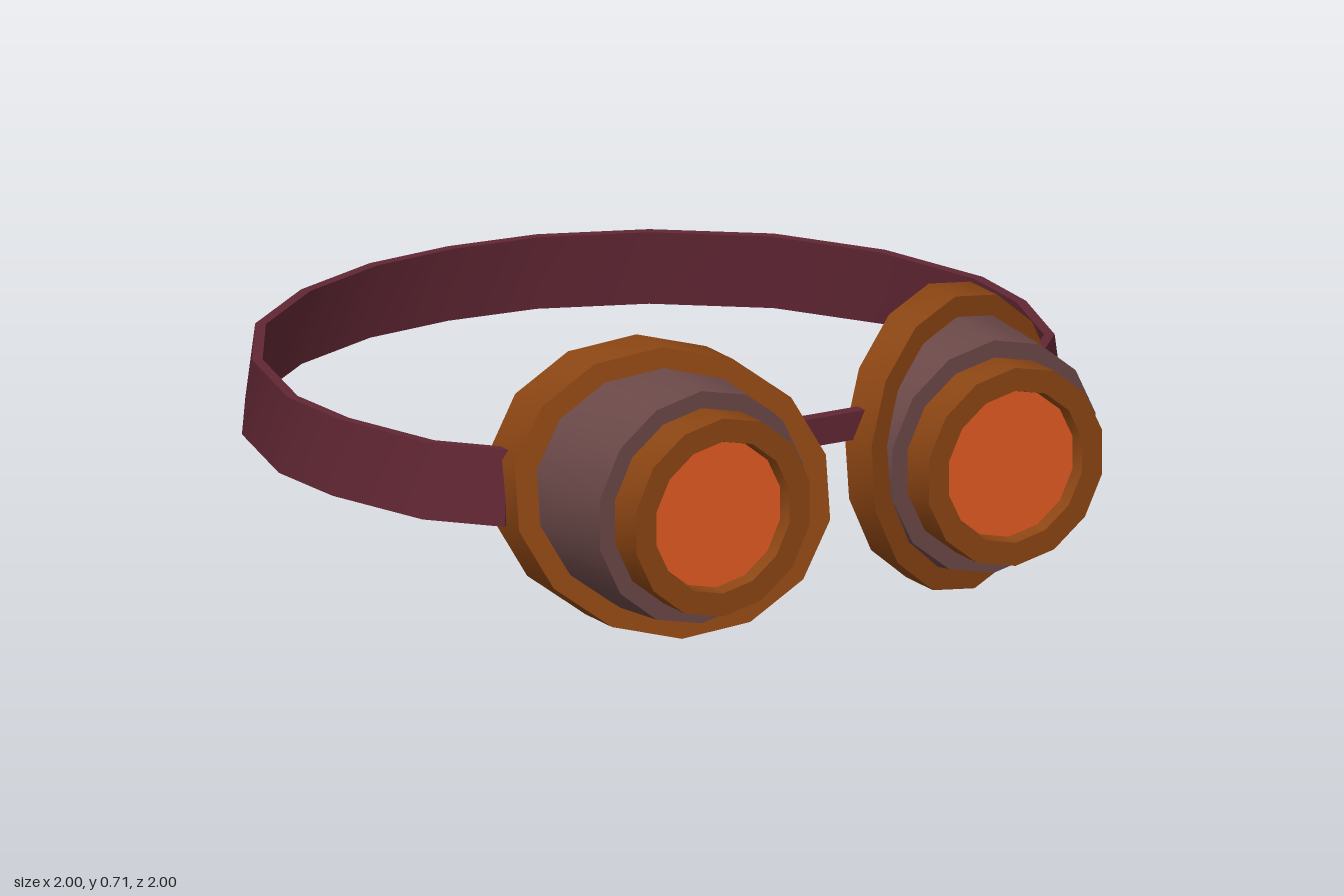
import * as THREE from 'three';
import { toCreasedNormals } from 'three/addons/utils/BufferGeometryUtils.js';

const SIDES = 14, CREASE = 0.6;
const EYE_X = 0.41, EYE_Y = 0.355;
const material = (color, side = THREE.FrontSide) => new THREE.MeshStandardMaterial({ color, side });

function addMesh(parent, name, geometry, mat) {
  const mesh = new THREE.Mesh(geometry, mat);
  mesh.name = name;
  parent.add(mesh);
  return mesh;
}

// Turned ring along z. Profile rows are [radius, z, slanted]; slanted rows
// follow the tilted plane that rests against the face.
function turned(profile, side) {
  const geo = new THREE.LatheGeometry(profile.map(([r, z]) => new THREE.Vector2(r, z)), SIDES);
  geo.rotateX(Math.PI / 2);
  const p = geo.attributes.position;
  for (let i = 0; i < p.count; i++) {
    if (profile[i % profile.length][2]) {
      p.setZ(i, p.getZ(i) + 0.638 - 0.435 * side * p.getX(i) - 0.127 * p.getY(i));
    }
  }
  return toCreasedNormals(geo, CREASE);
}

// Leaning head band swept through a mirrored plan outline
function strapGeometry() {
  const half = [[0.762, 0.565], [0.9, 0.41], [0.985, 0.13], [0.998, -0.1], [0.91, -0.42],
    [0.745, -0.68], [0.5, -0.87], [0.24, -0.975]];
  const path = [...half, [0, -1], ...half.map(([x, z]) => [-x, z]).reverse()];
  const section = [[1, 0.273], [0.976, 0.46], [0.95, 0.46], [0.974, 0.273]]; // [plan scale, y]
  const pos = [], index = [];
  path.forEach(([x, z], k) => {
    section.forEach(([s, y], j) => {
      pos.push(x * s, y, z * s);
      if (k < path.length - 1) {
        const a = k * 4 + j, b = k * 4 + (j + 1) % 4;
        index.push(a, a + 4, b + 4, a, b + 4, b);
      }
    });
  });
  const e = (path.length - 1) * 4;
  index.push(0, 1, 2, 0, 2, 3, e, e + 2, e + 1, e, e + 3, e + 2);
  const geo = new THREE.BufferGeometry();
  geo.setAttribute('position', new THREE.Float32BufferAttribute(pos, 3));
  geo.setIndex(index);
  return toCreasedNormals(geo, CREASE);
}

export function createModel() {
  const model = new THREE.Group();
  model.name = 'goggles';
  const brown = material(0x8b4513);
  const cupMat = material(0x6b4848);
  const strapMat = material(0x602633);
  const lensMat = material(0xe25a22, THREE.DoubleSide);

  for (const side of [1, -1]) {
    const eye = new THREE.Group();
    eye.name = side > 0 ? 'leftEyepiece' : 'rightEyepiece';
    eye.position.set(side * EYE_X, EYE_Y, 0);
    model.add(eye);

    // Slanted face pad
    addMesh(eye, 'facePad', turned([
      [0.196, 0, true], [0.355, 0, true], [0.355, 0.125, true], [0.28, 0.125, true],
    ], side), brown);

    // Cup with its inner bore
    addMesh(eye, 'cup', turned([
      [0.309, 0.06, true], [0.292, 0.9], [0.24, 0.9], [0.196, 0.968], [0.196, 0, true],
    ], side), cupMat);

    // Front rim holding the lens
    addMesh(eye, 'lensRim', turned([
      [0.249, 0.89], [0.249, 1], [0.191, 1], [0.183, 0.965],
    ], side), brown);

    const lens = addMesh(eye, 'lens', new THREE.CircleGeometry(0.194, SIDES), lensMat);
    lens.rotation.z = Math.PI / 2;
    lens.position.z = 0.968;
  }

  // Nose bridge between the pads
  const bridge = addMesh(model, 'noseBridge', new THREE.BoxGeometry(0.2, 0.07, 0.035), strapMat);
  bridge.position.set(0, 0.465, 0.802);

  addMesh(model, 'headStrap', strapGeometry(), strapMat);
  return model;
}
